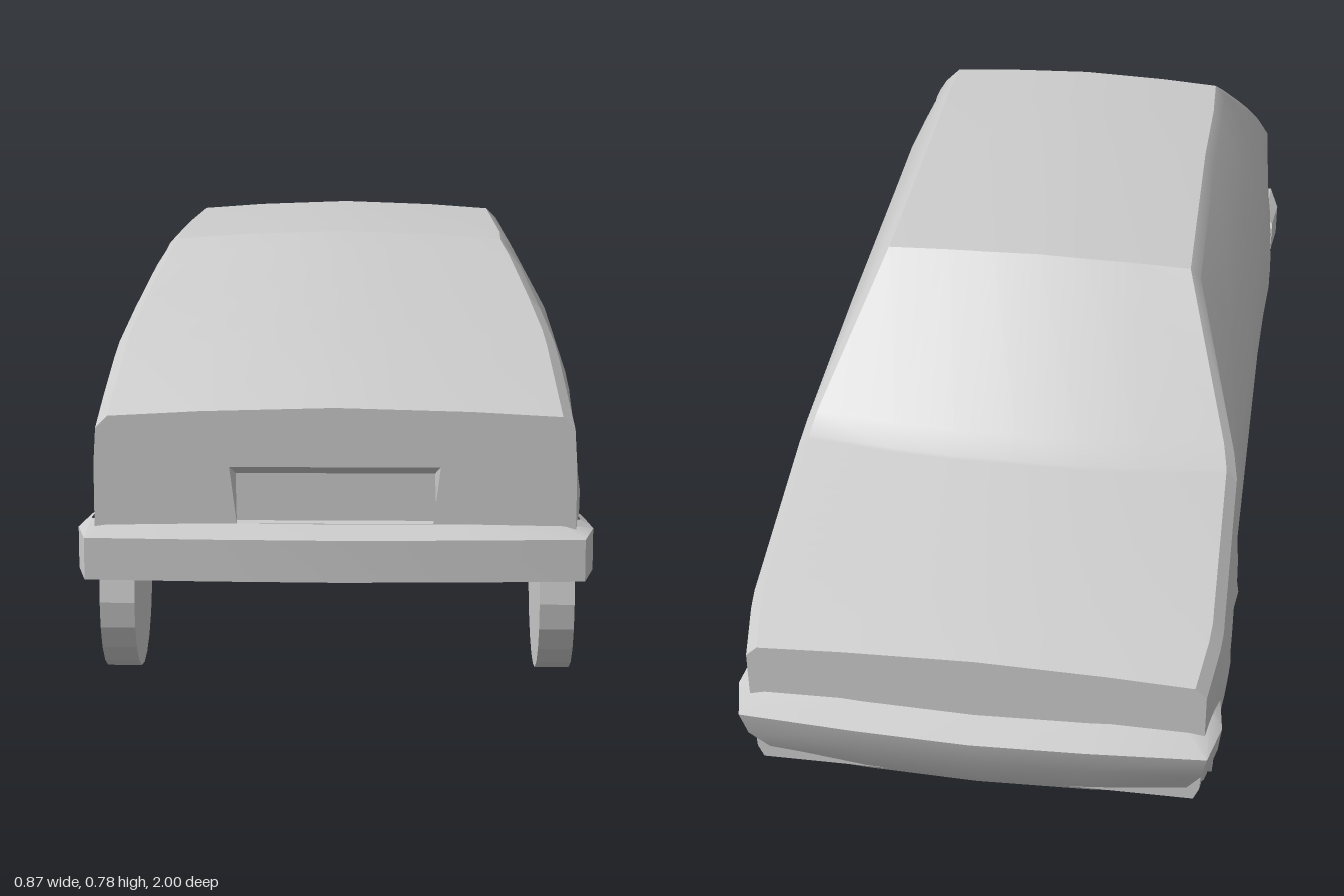
import * as THREE from 'three';
import { toCreasedNormals } from 'three/addons/utils/BufferGeometryUtils.js';

const smooth = new THREE.MeshStandardMaterial({ color: 0xcccccc, side: THREE.DoubleSide });
const faceted = new THREE.MeshStandardMaterial({ color: 0xcccccc, flatShading: true });

// Profiles as [position, value] pairs
const BOTTOM = [[-.93, .16], [-.83, .165], [-.79, .26], [-.76, .31], [-.7, .35], [-.64, .36], [-.56, .33],
  [-.49, .27], [-.45, .2], [-.4, .155], [.475, .15], [.5, .24], [.54, .29], [.58, .325], [.65, .342],
  [.73, .33], [.79, .28], [.82, .235], [.94, .235]];
const TOP = [[-.93, .42], [-.44, .52], [-.13, .757], [.3, .768], [.62, .762], [.94, .5]];
const SIDE = [[.14, .395], [.18, .415], [.26, .42], [.42, .42], [.5, .415], [.6, .385], [.7, .338], [.745, .308], [.78, .29]];
const TAPER = [[-.93, .018], [-.8, 0], [.5, 0], [.94, .022]];
const BOW = [[-.93, 0], [-.44, .045], [-.13, .01], [0, 0]];

function sample(table, v) {
  if (v <= table[0][0]) return table[0][1];
  for (let i = 1; i < table.length; i++) {
    const [a, fa] = table[i - 1], [b, fb] = table[i];
    if (v <= b) return fa + (fb - fa) * (v - a) / (b - a);
  }
  return table[table.length - 1][1];
}

// Half width of the body, with a slight flare over each wheel
function halfWidth(y, z) {
  const near = Math.max(0, 1 - Math.abs(Math.abs(z) - .66) / .25);
  const flare = .014 * Math.min(1, near * 2) * Math.max(0, 1 - Math.abs(y - .33) / .1);
  return sample(SIDE, y) - sample(TAPER, z) + flare;
}

// Surface through rows of [x, y, z] points
function surface(rows) {
  const n = rows[0].length, index = [];
  for (let i = 0; i < rows.length - 1; i++)
    for (let j = 0; j < n - 1; j++) {
      const a = i * n + j, b = a + n;
      index.push(a, b, a + 1, b, b + 1, a + 1);
    }
  const g = new THREE.BufferGeometry();
  g.setAttribute('position', new THREE.Float32BufferAttribute(rows.flat(2), 3));
  g.setIndex(index);
  return toCreasedNormals(g, .45);
}

// Cross-section of the body: up one side, over the top, down the other
function section(z) {
  const b = sample(BOTTOM, z), top = sample(TOP, z), s = top - .02, waist = .39;
  const sill = b + .025;
  const ys = [b, sill, (sill + waist) / 2, waist, waist + (s - waist) / 3, waist + (s - waist) * 2 / 3, s];
  const half = ys.map(y => [halfWidth(y, z), y, z]);
  const edge = halfWidth(s, z) - .02, bow = sample(BOW, z);
  half.push([edge, top, z], [edge * .6, top + .008, z - bow * .64], [edge * .3, top + .011, z - bow * .91]);
  const other = half.map(([x, y, w]) => [-x, y, w]).reverse();
  return [...half, [0, top + .014, z - bow], ...other];
}

// End panel closing the body shell, with an optional opening
function endPanel(z, hole) {
  const shape = new THREE.Shape(section(z).map(([x, y]) => new THREE.Vector2(x, y)));
  if (hole) shape.holes.push(new THREE.Path(hole.map(p => new THREE.Vector2(...p))));
  return new THREE.ShapeGeometry(shape).translate(0, 0, z);
}

// Wrap-around bumper: half plan path [x, z, nx, nz] and profile [inset, y]
function bumper(path, profile) {
  const mirrored = path.slice(0, -1).reverse().map(([x, z, nx, nz]) => [-x, z, -nx, nz]);
  return surface([...path, ...mirrored].map(([x, z, nx, nz]) =>
    profile.map(([d, y]) => [x - nx * d, y, z - nz * d])));
}

export function createModel() {
  const car = new THREE.Group();
  car.name = 'car';
  const add = (name, geometry, material = smooth) => {
    const mesh = new THREE.Mesh(geometry, material);
    mesh.name = name;
    car.add(mesh);
    return mesh;
  };

  // Body shell, open underneath
  const stations = [...new Set([...BOTTOM, ...TOP].map(p => p[0]))].sort((a, b) => a - b);
  add('bodyShell', surface(stations.map(section)));

  // Nose and tail panels, the tail with a plate recess
  add('nosePanel', endPanel(-.93));
  const opening = [[-.162, .32], [.162, .32], [.174, .415], [-.174, .415]];
  const inner = [[-.168, .32], [.168, .32], [.165, .4], [-.165, .4]];
  add('tailPanel', endPanel(.94, opening));
  const ring = (pts, z) => [...pts, pts[0]].map(([x, y]) => [x, y, z]);
  add('plateRecessWalls', surface([ring(opening, .94), ring(inner, .915)]));
  add('plateRecessBack', new THREE.ShapeGeometry(
    new THREE.Shape(inner.map(p => new THREE.Vector2(...p)))).translate(0, 0, .915));

  // Bumpers; the front one runs down into a spoiler
  add('rearBumper', bumper(
    [[.422, .82, .3, 0], [.43, .9, .4, 0], [.41, .985, .7, 1], [.2, .995, 0, 1], [0, 1, 0, 1]],
    [[.055, .32], [0, .305], [0, .235], [.055, .235]]));
  add('frontBumper', bumper(
    [[.422, -.83, .3, 0], [.43, -.9, .4, -.4], [.41, -.98, .7, -1], [.2, -.993, 0, -1], [0, -1, 0, -1]],
    [[.06, .32], [0, .305], [.014, .25], [.07, .15]]));

  // Wheels, with a shallow dished hub on the outer face
  const wheelProfile = [[0, -.03], [.148, -.03], [.148, .03], [.097, .03], [.087, .022], [0, .022]]
    .map(p => new THREE.Vector2(...p));
  const wheelGeometry = new THREE.LatheGeometry(wheelProfile, 20);
  for (const side of [1, -1]) {
    const sideName = side > 0 ? 'Left' : 'Right';
    for (const [end, z, from, to] of [['hatch', .655, .475, .82], ['hood', -.64, -.83, -.4]]) {
      const wheel = add(`${end}Wheel${sideName}`, wheelGeometry, faceted);
      wheel.position.set(side * .38, .148, z);
      wheel.rotation.z = -side * Math.PI / 2;

      // Inner lip following the wheel opening
      const arch = BOTTOM.filter(p => p[0] >= from && p[0] <= to);
      add(`${end}Arch${sideName}`, surface(arch.map(([w, y]) => {
        const x = halfWidth(y, w);
        return [[side * x, y, w], [side * (x - .07), y, w]];
      })));
    }
  }
  return car;
}
